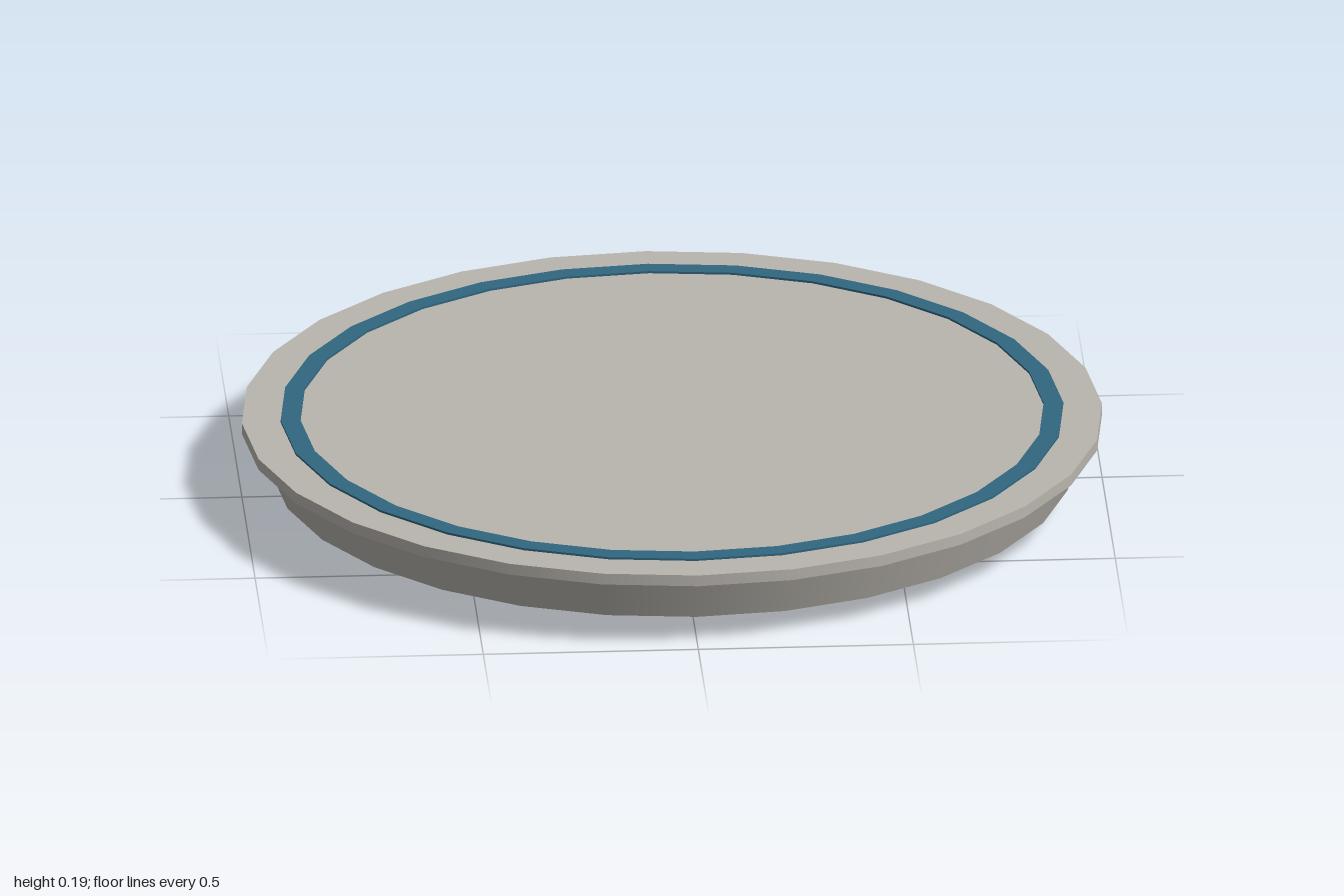
import * as THREE from 'three';

const SIDES = 28;

export function createModel() {
  const model = new THREE.Group();
  const stone = new THREE.MeshStandardMaterial({ color: 0xb9b5ae });
  stone.name = 'warm grey';
  const blue = new THREE.MeshStandardMaterial({ color: 0x30667f });
  blue.name = 'blue inlay';

  const add = (name, geometry, material, y = 0, parent = model) => {
    const mesh = new THREE.Mesh(geometry, material);
    mesh.name = name;
    mesh.position.y = y;
    parent.add(mesh);
    return mesh;
  };
  // Tapered disc standing between two heights
  const disc = (name, rTop, rBottom, y0, y1) =>
    add(name, new THREE.CylinderGeometry(rTop, rBottom, y1 - y0, SIDES), stone, (y0 + y1) / 2);
  const lathe = (points) =>
    new THREE.LatheGeometry(points.map(([r, y]) => new THREE.Vector2(r, y)), SIDES);

  // Softly rounded underside
  add('foot', lathe([[0, 0], [0.57, 0], [0.68, 0.053]]), stone);

  // Main slab and overhanging rim
  disc('body', 0.968, 0.93, 0.053, 0.158);
  disc('rim', 1, 1, 0.158, 0.185);

  // Thin inlaid ring: outer wall, top face and inner wall
  const ring = new THREE.Group();
  ring.name = 'inlayRing';
  model.add(ring);
  const profile = [[0.91, 0.184], [0.91, 0.19], [0.864, 0.19], [0.864, 0.184]];
  ['ringOuterWall', 'ringTop', 'ringInnerWall'].forEach((name, i) =>
    add(name, lathe([profile[i], profile[i + 1]]), blue, 0, ring));

  return model;
}
